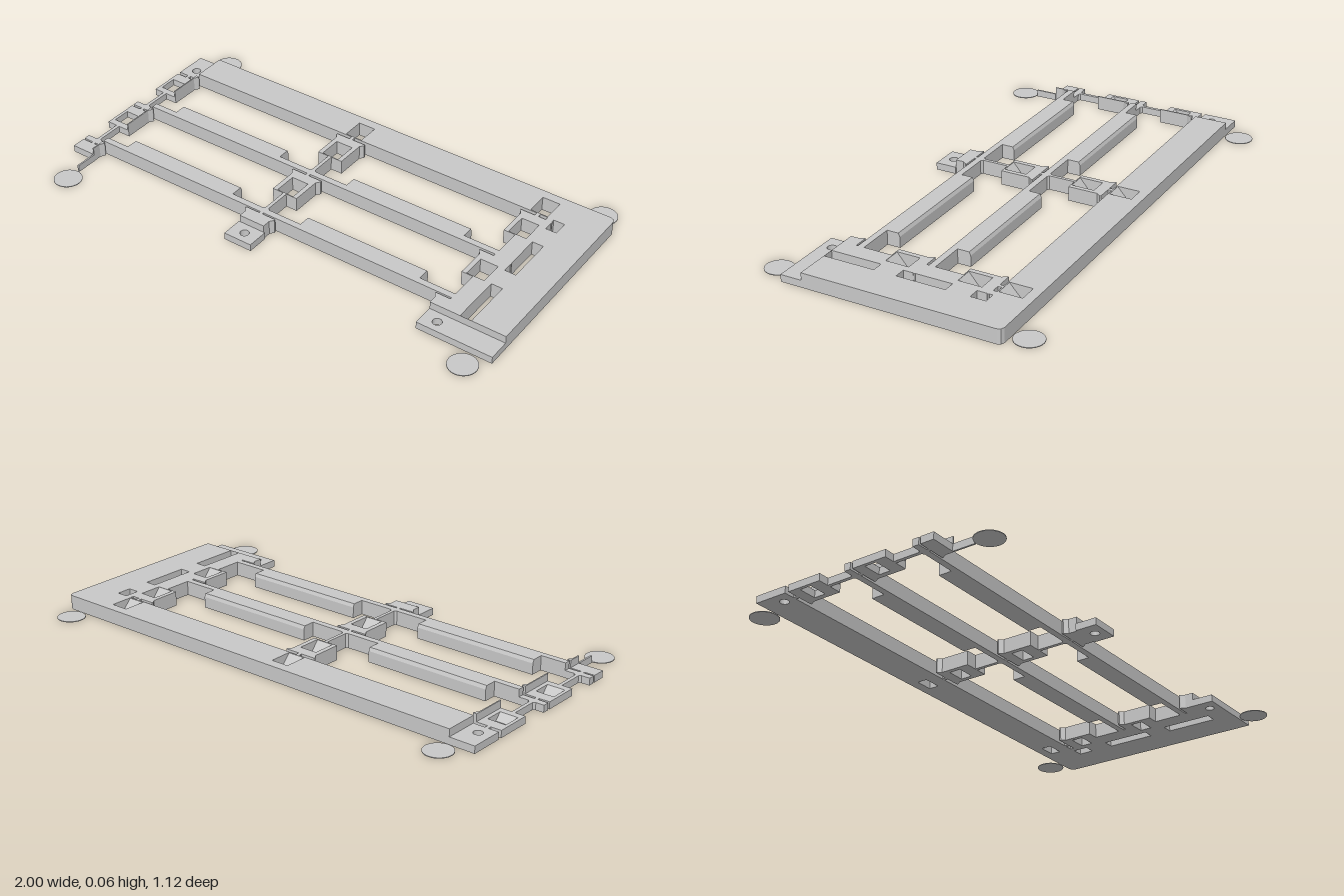
import * as THREE from 'three';

const H = 0.059, LOW = 0.029;

export function createModel() {
  const model = new THREE.Group();
  model.name = 'trackFrame';
  const grey = new THREE.MeshStandardMaterial({ color: 0xc8c8c8 });
  grey.name = 'light grey';

  const add = (name, geo) => {
    const mesh = new THREE.Mesh(geo, grey);
    mesh.name = name;
    model.add(mesh);
  };
  // Plan outline [x, z] raised to a height, with optional through holes
  const slab = (name, pts, height, holes = []) => {
    const shape = new THREE.Shape(pts.map(([x, z]) => new THREE.Vector2(x, -z)));
    shape.holes = holes;
    add(name, new THREE.ExtrudeGeometry(shape, { depth: height, bevelEnabled: false, curveSegments: 10 }).rotateX(-Math.PI / 2));
  };
  const rect = (x0, x1, z0, z1) => [[x0, z0], [x1, z0], [x1, z1], [x0, z1]];
  // Holes run the opposite way round to the outlines, so their walls face inwards
  const rectHole = (...r) => new THREE.Path(rect(...r).reverse().map(([x, z]) => new THREE.Vector2(x, -z)));
  const roundHole = (x, z) => new THREE.Path().absarc(x, -z, 0.018, 0, Math.PI * 2, false);
  // Side profile [z, y] swept from x0 to x1
  const prism = (name, pts, x0, x1) => {
    const shape = new THREE.Shape(pts.map(([z, y]) => new THREE.Vector2(z, y)));
    add(name, new THREE.ExtrudeGeometry(shape, { depth: x1 - x0, bevelEnabled: false }).rotateY(-Math.PI / 2).translate(x1, 0, 0));
  };
  const ramp = (x, z0, z1) => prism('clipRamp', [[z0, 0], [z1, 0], [z1, H], [z0, 0.002]], x - 0.037, x + 0.037);
  // Flared collar outline: wide bar at the back, narrower body to the front
  const collar = (x, z, length) => [[x - 0.068, z], [x + 0.068, z], [x + 0.068, z + 0.006], [x + 0.056, z + 0.022],
    [x + 0.056, z + length], [x - 0.056, z + length], [x - 0.056, z + 0.022], [x - 0.068, z + 0.006]];

  // Back rail with two ramped sockets
  const socketXs = [-0.101, 0.748];
  slab('backRail', rect(-0.895, 0.814, -0.445, -0.307), H,
    socketXs.map((x) => rectHole(x - 0.037, x + 0.037, -0.405, -0.312)));
  slab('backRailEnd', rect(-1, -0.895, -0.445, -0.307), LOW, [roundHole(-0.95, -0.356)]);
  socketXs.forEach((x) => ramp(x, -0.363, -0.311));

  // Wide end panel: rounded back corner and three slots
  slab('endPanelBack', [[0.814, -0.445], [0.98, -0.445], [0.994, -0.439], [1, -0.425], [1, -0.307], [0.814, -0.307]], H);
  slab('endPanel', rect(0.787, 1, -0.307, 0.354), H, [
    rectHole(0.814, 0.86, -0.306, -0.244),
    rectHole(0.814, 0.86, -0.147, 0.052),
    rectHole(0.814, 0.86, 0.144, 0.353),
  ]);
  slab('panelEdge', rect(0.74, 0.787, -0.147, 0.003), H);
  slab('panelEdge', rect(0.74, 0.787, 0.147, 0.354), H);
  slab('panelFoot', rect(0.69, 1, 0.354, 0.442), LOW, [roundHole(0.75, 0.398)]);
  slab('panelHeel', [[0.68, 0.298], [0.75, 0.298], [0.75, 0.354], [0.69, 0.354], [0.69, 0.32], [0.68, 0.304]], H);

  // Clips: flared collar, square opening and a ramp in front of it
  for (const z of [-0.292, 0.003]) {
    for (const x of socketXs) {
      slab('clip', collar(x, z, 0.145), H, [rectHole(x - 0.037, x + 0.037, z + 0.045, z + 0.141)]);
      ramp(x, z + 0.094, z + 0.142);
    }
    // Cut-down clip at the left end with a tall side wall
    slab('endClip', rect(-1, -0.895, z, z + 0.145), LOW, [rectHole(-0.987, -0.913, z + 0.045, z + 0.141)]);
    prism('endClipRamp', [[z + 0.094, 0], [z + 0.142, 0], [z + 0.142, LOW], [z + 0.118, LOW], [z + 0.094, 0.002]], -0.987, -0.913);
    slab('endClipWall', [[-0.897, z], [-0.882, z], [-0.882, z + 0.006], [-0.892, z + 0.022], [-0.892, z + 0.145], [-0.897, z + 0.145]], H);
  }

  // Cross rails with thicker chamfered stretches
  for (const z of [-0.007, 0.291]) {
    slab('crossRail', rect(-0.895, 0.745, z - 0.026, z), H);
    slab('crossRailEnd', rect(-1, -0.895, z - 0.026, z), LOW);
    for (const x of [-0.79, 0.06]) {
      prism('railPad', [[z - 0.08, 0], [z, 0], [z, H], [z - 0.074, H], [z - 0.08, 0.045]], x, x + 0.53);
    }
  }

  // Thin stems joining the clips and rails, flared where they meet a rail
  for (const [x, h] of [[-0.101, H], [-0.95, LOW]]) {
    for (const [z0, z1] of [[-0.307, -0.292], [-0.147, -0.033], [-0.007, 0.003], [0.148, 0.265], [0.291, 0.298]]) {
      const f = z1 - z0 > 0.05 ? 0.016 : 0.007;
      slab('stem', [[x - 0.007, z0], [x + 0.007, z0], [x + 0.007, z1 - 0.007], [x + f, z1],
        [x - f, z1], [x - 0.007, z1 - 0.007]], h);
    }
  }
  slab('stem', rect(0.741, 0.755, -0.307, -0.292), H);

  // Front collars and mounting tab
  slab('frontCollar', collar(-0.101, 0.298, 0.056), H);
  slab('frontTab', rect(-0.162, -0.04, 0.354, 0.442), LOW, [roundHole(-0.101, 0.398)]);
  slab('endCollar', rect(-1, -0.895, 0.298, 0.354), LOW);
  slab('endCollarWall', [[-0.897, 0.298], [-0.882, 0.298], [-0.882, 0.304], [-0.892, 0.32], [-0.892, 0.354], [-0.897, 0.354]], H);
  slab('cornerFin', rect(-0.898, -0.891, 0.354, 0.445), LOW);

  // Thin corner discs
  for (const x of [-0.895, 0.922]) {
    for (const z of [-0.505, 0.505]) {
      add('cornerDisc', new THREE.CylinderGeometry(0.056, 0.056, 0.003, 40).translate(x, 0.0015, z));
    }
  }
  return model;
}
